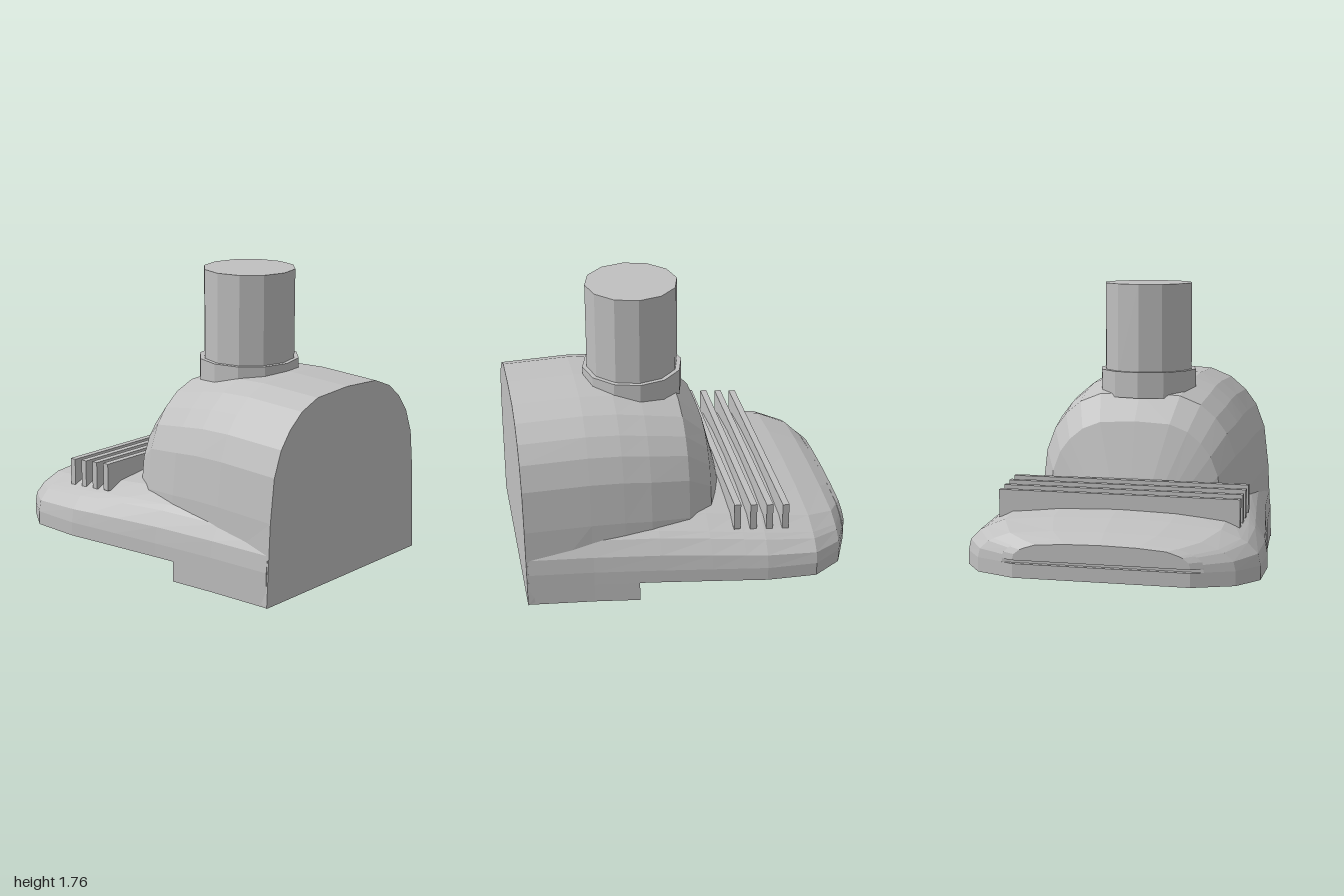
import * as THREE from 'three';

// Skin closed cross-sections, ordered from +z to -z; each runs counterclockwise seen from +z.
// Unshared corners keep the facets flat.
function loft(sections) {
  const pos = [];
  const tri = (a, b, c) => pos.push(...a, ...b, ...c);
  const n = sections[0].length;
  for (let i = 0; i < sections.length - 1; i++) {
    const s = sections[i], t = sections[i + 1];
    for (let j = 0; j < n; j++) {
      const k = (j + 1) % n;
      tri(s[j], t[j], t[k]);
      tri(s[j], t[k], s[k]);
    }
  }
  const first = sections[0], last = sections[sections.length - 1];
  for (let j = 1; j < n - 1; j++) {
    tri(first[0], first[j], first[j + 1]);
    tri(last[0], last[j + 1], last[j]);
  }
  const g = new THREE.BufferGeometry();
  g.setAttribute('position', new THREE.Float32BufferAttribute(pos, 3));
  g.computeVertexNormals();
  return g;
}

// Mirror a half profile (bottom right up to the centre) into a full loop.
function mirrored(half, z) {
  const right = half.map(([x, y]) => [x, y, z]);
  const left = half.slice(0, -1).reverse().map(([x, y]) => [-x, y, z]);
  return [...right, ...left];
}

// Domed top of the base: fraction of half width, fraction of dome height
const DOME = [[0.983, 0.29], [0.914, 0.55], [0.87, 0.64], [0.74, 0.84], [0.4, 0.96], [0, 1]];
function baseSection([z, w, top], bottom = 0.125) {
  const wall = 0.21;
  const edge = Math.max(wall, bottom + 0.005);
  return mirrored([[w, bottom], [w, edge],
    ...DOME.map(([fx, fy]) => [w * fx, edge + fy * (top - edge)])], z);
}

// Arched housing profile at its full size
const ARCH = [[0.66, 0.5], [0.63, 0.76], [0.574, 0.91], [0.5, 1.01], [0.4, 1.095], [0.265, 1.15], [0, 1.165]];
function housingSection([z, w, top, bottom, wBottom]) {
  return mirrored([[wBottom, bottom],
    ...ARCH.map(([x, y]) => [x * w / 0.66, y * top / 1.165])], z);
}

export function createModel() {
  const group = new THREE.Group();
  const grey = new THREE.MeshStandardMaterial({ color: 0xc0c0c0 });
  grey.name = 'grey';
  const add = (name, geometry, x = 0, y = 0, z = 0) => {
    const mesh = new THREE.Mesh(geometry, grey);
    mesh.name = name;
    mesh.position.set(x, y, z);
    group.add(mesh);
  };
  const flat = (g) => {
    const f = g.toNonIndexed();
    f.computeVertexNormals();
    return f;
  };

  // Broad base: z, half width, top height
  const rows = [
    [0.99, 0.68, 0.55], [0.6, 0.72, 0.55], [0.2, 0.775, 0.55], [-0.1, 0.82, 0.525],
    [-0.3, 0.85, 0.505], [-0.43, 0.87, 0.49], [-0.73, 0.875, 0.445],
    [-0.9, 0.76, 0.395], [-0.97, 0.592, 0.356],
  ];
  add('base', loft(rows.map((r) => baseSection(r))));

  // Two lips leave a narrow slot across the back end
  const lipRows = [[-0.97, 0.592, 0.356], [-1, 0.52, 0.34]];
  add('upperLip', loft(lipRows.map((r) => baseSection(r, 0.228))));
  add('lowerLip', loft(lipRows.map(([z, w]) => mirrored([[w, 0.125], [w, 0.208], [0, 0.208]], z))));

  // Deeper block under the front half
  const heelRows = [[0.99, 0.68], [0.6, 0.72], [0.33, 0.757]];
  add('heel', loft(heelRows.map(([z, w]) => mirrored([[w, 0], [w, 0.125], [0, 0.125]], z))));

  // Arched housing: z, half width, top height, bottom, half width at bottom
  add('housing', loft([
    [1, 0.66, 1.163, 0, 0.685], [0.6, 0.664, 1.175, 0.16, 0.67], [0.4, 0.664, 1.165, 0.16, 0.67],
    [0.235, 0.66, 1.138, 0.16, 0.665], [0, 0.63, 1.09, 0.16, 0.635],
    [-0.15, 0.545, 0.93, 0.16, 0.55], [-0.24, 0.34, 0.6, 0.16, 0.35], [-0.255, 0.2, 0.53, 0.16, 0.2],
  ].map(housingSection)));

  // Upright pipe and its collar
  add('collar', flat(new THREE.CylinderGeometry(0.305, 0.305, 0.16, 12)), 0, 1.14, 0.238);
  add('pipe', flat(new THREE.CylinderGeometry(0.278, 0.278, 0.56, 12)), 0, 1.48, 0.238);

  // Row of cross ribs on the base
  for (let i = 0; i < 4; i++) {
    add('rib', new THREE.BoxGeometry(1.46, 0.17, 0.04), 0, 0.504 - i * 0.011, -0.268 - i * 0.099);
  }
  return group;
}
